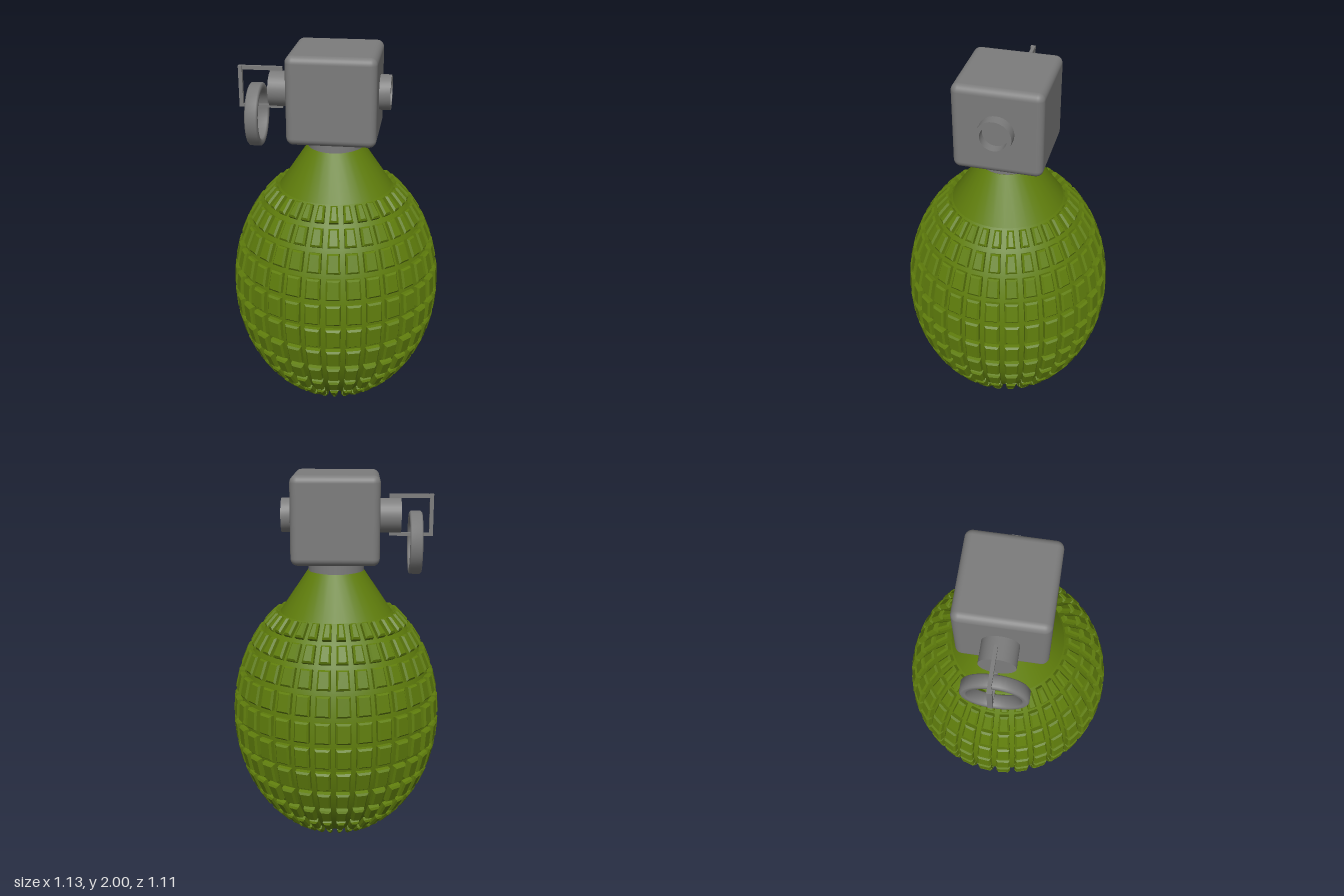
import * as THREE from 'three';
import { toCreasedNormals } from 'three/addons/utils/BufferGeometryUtils.js';
import { RoundedBoxGeometry } from 'three/addons/geometries/RoundedBoxGeometry.js';

const R = 0.54, HALF = 0.69, MID = 0.693, DEPTH = 0.98; // egg-shaped body
const COLS = 32, STEP = Math.PI / 16;
const profileAt = (lat) => new THREE.Vector2(R * Math.cos(lat), MID + HALF * Math.sin(lat));

function bodyPoint(lat, lon) {
  const p = profileAt(lat);
  return new THREE.Vector3(p.x * Math.sin(lon), p.y, p.x * Math.cos(lon) * DEPTH);
}

function lathe(profile, segments, crease = 0.6) {
  const pts = profile.map((p) => (p.isVector2 ? p : new THREE.Vector2(p[0], p[1])));
  return toCreasedNormals(new THREE.LatheGeometry(pts, segments), crease);
}

// One raised, bevelled block for every cell of the body grid
function studGeometry() {
  const positions = [];
  const quad = (a, b, c, d) => [a, b, c, a, c, d].forEach((p) => positions.push(p.x, p.y, p.z));
  const layers = [[0.013, -0.005], [0.013, 0.02], [0.022, 0.03]]; // inset, height
  for (let row = -6; row < 5; row++) {
    for (let col = 0; col < COLS; col++) {
      const lat = row * STEP, lon = col * STEP;
      const c = [
        bodyPoint(lat, lon), bodyPoint(lat, lon + STEP),
        bodyPoint(lat + STEP, lon + STEP), bodyPoint(lat + STEP, lon),
      ];
      const across = c[1].clone().sub(c[0]).add(c[2]).sub(c[3]);
      const up = c[3].clone().sub(c[0]).add(c[2]).sub(c[1]);
      const normal = across.clone().cross(up).normalize();
      const tall = c[0].distanceTo(c[3]);
      const rings = layers.map(([inset, height]) => {
        const corner = (u, v) => {
          const low = c[0].clone().lerp(c[1], 0.5);
          const high = c[3].clone().lerp(c[2], 0.5);
          const t = v > 0 ? 1 - inset / tall : inset / tall;
          const left = c[0].clone().lerp(c[3], t), right = c[1].clone().lerp(c[2], t);
          const half = left.distanceTo(right) / 2 - inset;
          const dir = right.clone().sub(left).normalize();
          return low.lerp(high, t).addScaledVector(dir, u * half).addScaledVector(normal, height);
        };
        return [corner(-1, -1), corner(1, -1), corner(1, 1), corner(-1, 1)];
      });
      for (let k = 0; k < 2; k++) {
        for (let i = 0; i < 4; i++) {
          const j = (i + 1) % 4;
          quad(rings[k][i], rings[k][j], rings[k + 1][j], rings[k + 1][i]);
        }
      }
      quad(...rings[2]);
    }
  }
  const g = new THREE.BufferGeometry();
  g.setAttribute('position', new THREE.Float32BufferAttribute(positions, 3));
  g.computeVertexNormals();
  return g;
}

export function createModel() {
  const model = new THREE.Group();
  model.name = 'grenade';
  const green = new THREE.MeshStandardMaterial({ color: 0x5f7d0c });
  green.name = 'olive green';
  const grey = new THREE.MeshStandardMaterial({ color: 0x7c7c7c });
  grey.name = 'metal grey';
  const add = (name, geometry, material, x = 0, y = 0, z = 0, parent = model) => {
    const mesh = new THREE.Mesh(geometry, material);
    mesh.name = name;
    mesh.position.set(x, y, z);
    parent.add(mesh);
    return mesh;
  };

  // Body: egg core, conical shoulder and blocks
  const core = [];
  for (let i = -8; i <= 5; i++) core.push(profileAt(i * STEP));
  core[0].x = 0;
  add('bodyCore', lathe(core, COLS), green).scale.z = DEPTH;
  const shoulder = [profileAt(5 * STEP), [0.15, 1.49], [0, 1.49]];
  add('shoulder', lathe(shoulder, COLS), green).scale.z = DEPTH;
  add('bodyBlocks', studGeometry(), green);

  // Neck and fuse head
  add('neck', new THREE.CylinderGeometry(0.148, 0.148, 0.1, 32), grey, 0, 1.525, 0);
  add('fuseHead', new RoundedBoxGeometry(0.456, 0.455, 0.456, 4, 0.038), grey, 0, 1.7725, 0);

  // Side barrel and hollow socket
  const barrel = new THREE.CylinderGeometry(0.09, 0.09, 0.14, 32).rotateZ(Math.PI / 2);
  add('sideBarrel', barrel, grey, -0.27, 1.778, 0);
  const socket = [[0.09, 0.2], [0.09, 0.285], [0.068, 0.285], [0.068, 0.235], [0, 0.235]];
  add('sideSocket', lathe(socket, 32).rotateZ(-Math.PI / 2), grey, 0, 1.778, 0);

  // Pin clip: thin bars around the barrel
  const clip = new THREE.Group();
  clip.name = 'pinClip';
  model.add(clip);
  add('clipTop', new THREE.BoxGeometry(0.23, 0.02, 0.018), grey, -0.393, 1.88, -0.012, clip);
  add('clipBottom', new THREE.BoxGeometry(0.23, 0.016, 0.018), grey, -0.393, 1.681, -0.006, clip);
  add('clipEnd', new THREE.BoxGeometry(0.02, 0.217, 0.024), grey, -0.498, 1.7815, -0.008, clip);

  // Pull ring hanging on the clip
  const band = [
    [0.158, -0.033], [0.165, -0.026], [0.165, 0.026], [0.158, 0.033],
    [0.137, 0.033], [0.13, 0.026], [0.13, -0.026], [0.137, -0.033], [0.158, -0.033],
  ];
  add('pullRing', lathe(band, 40, 0.9).rotateZ(-Math.PI / 2), grey, -0.417, 1.636, 0);

  return model;
}
